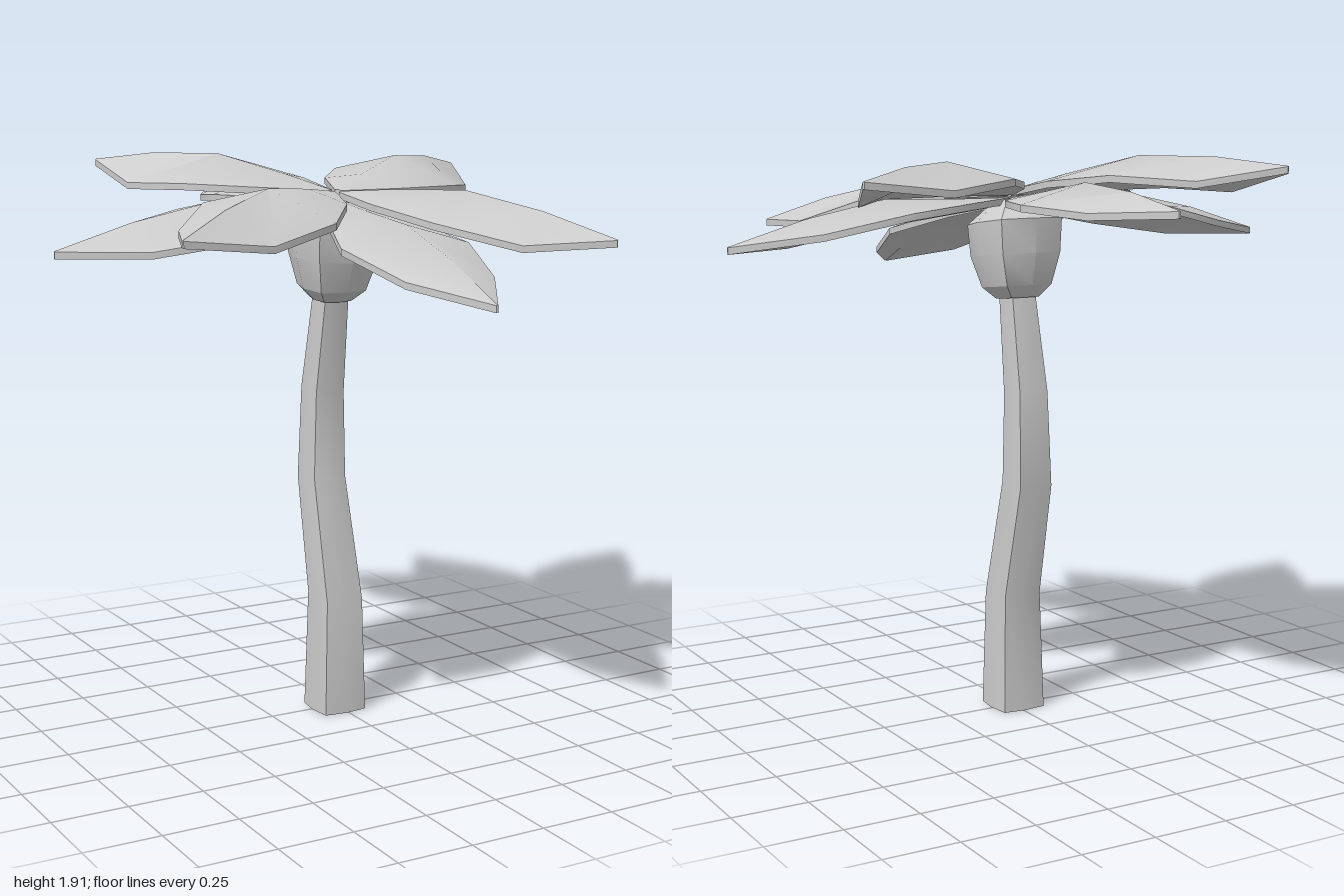
import * as THREE from 'three';
import { toCreasedNormals } from 'three/addons/utils/BufferGeometryUtils.js';

const material = new THREE.MeshStandardMaterial({ color: 0xcccccc });

// Skin a list of equal-sized rings of [x, y, z] points and cap both ends
function loft(rings, crease) {
  const n = rings[0].length, last = (rings.length - 1) * n, index = [];
  for (let i = 0; i < rings.length - 1; i++) {
    for (let j = 0; j < n; j++) {
      const k = (j + 1) % n, a = i * n, b = a + n;
      index.push(a + j, b + j, b + k, a + j, b + k, a + k);
    }
  }
  for (let j = 1; j < n - 1; j++) {
    index.push(0, j, j + 1, last, last + j + 1, last + j);
  }
  const geometry = new THREE.BufferGeometry();
  geometry.setAttribute('position', new THREE.Float32BufferAttribute(rings.flat(2), 3));
  geometry.setIndex(index);
  return toCreasedNormals(geometry, crease);
}

// Square ring with slightly bulging sides; tilt raises it towards the back
function ring(y, x, z, half, corner, tilt = 0) {
  return Array.from({ length: 8 }, (_, i) => {
    const a = (i * Math.PI) / 4;
    const r = half * (i % 2 ? corner * Math.SQRT2 : 1);
    const dz = Math.sin(a) * r;
    return [x + Math.cos(a) * r, y - tilt * dz, z + dz];
  });
}

// Leaf stations: distance, half width, spine height, edge height
const lowerLeaf = [
  [0.02, 0.012, 1.77, 1.768],
  [0.2, 0.14, 1.77, 1.745],
  [0.47, 0.235, 1.775, 1.71],
  [0.74, 0.16, 1.72, 1.66],
  [1.0, 0.003, 1.642, 1.64],
];
const upperLeaf = [
  [0.02, 0.012, 1.8, 1.798],
  [0.2, 0.14, 1.83, 1.8],
  [0.47, 0.235, 1.865, 1.79],
  [0.74, 0.165, 1.835, 1.75],
  [0.99, 0.003, 1.782, 1.78],
];
const THICK = 0.022, CROWN_SLOPE = 0.13;

// A thin ridged leaf pointing along (dx, dz), sheared with the leaning crown
function leaf(stations, dx, dz) {
  const length = Math.hypot(dx, dz), c = dx / length, s = dz / length;
  const scale = length / stations.at(-1)[0];
  const rings = stations.map(([d, w, spine, edge]) =>
    [
      [w, edge], [0, spine], [-w, edge],
      [-w, edge - THICK], [0, spine - THICK], [w, edge - THICK],
    ].map(([side, y]) => {
      const x = c * d * scale - s * side;
      const z = s * d * scale + c * side;
      return [x, y - CROWN_SLOPE * z, z];
    }));
  return loft(rings, 0.7);
}

export function createModel() {
  const model = new THREE.Group();
  const add = (name, geometry, parent = model) => {
    const mesh = new THREE.Mesh(geometry, material);
    mesh.name = name;
    parent.add(mesh);
  };

  // Bent, tapering trunk
  add('trunk', loft([
    ring(0, -0.007, 0.007, 0.088, 0.89),
    ring(0.405, -0.007, 0.01, 0.077, 0.89, 0.08),
    ring(0.81, -0.007, -0.087, 0.068, 0.89, -0.08),
    ring(1.12, -0.006, -0.08, 0.06, 0.89, 0.12),
    ring(1.5, -0.005, -0.015, 0.048, 0.89, 0.15),
  ], 0.6));

  // Bulb joining the trunk to the leaves
  add('crownBulb', loft([
    ring(1.435, -0.005, -0.025, 0.065, 0.8, 0.1),
    ring(1.475, -0.005, -0.02, 0.107, 0.8, 0.1),
    ring(1.58, -0.005, -0.01, 0.138, 0.8, 0.1),
    ring(1.69, -0.005, -0.005, 0.145, 0.8, 0.13),
    ring(1.76, 0, 0, 0.06, 0.8, 0.13),
  ], 0.5));

  // Two tiers of four leaves, given by their tips in plan
  const tiers = {
    lowerLeaf: [lowerLeaf, [[1, 0.045], [0, -0.97], [-1, 0.005], [0, 0.965]]],
    upperLeaf: [upperLeaf, [[0.815, -0.555], [-0.53, -0.8], [-0.82, 0.565], [0.54, 0.83]]],
  };
  for (const [name, [stations, tips]] of Object.entries(tiers)) {
    const tier = new THREE.Group();
    tier.name = name + 'Tier';
    tips.forEach(([x, z], i) => add(name + (i + 1), leaf(stations, x, z), tier));
    model.add(tier);
  }
  return model;
}
